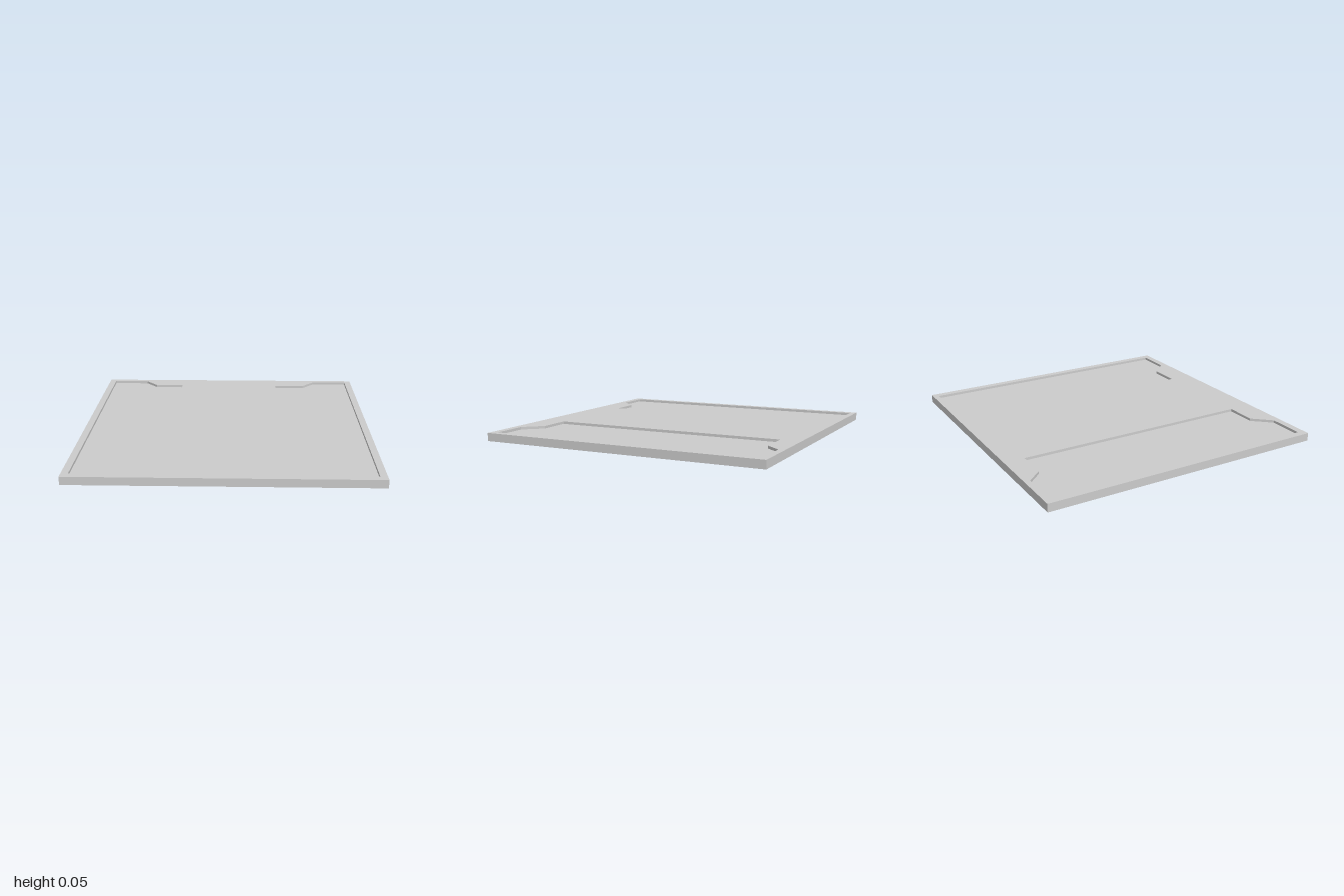
import * as THREE from 'three';

const W = 1, D = 0.983;                        // half width and half depth
const Y1 = 0.015, Y2 = 0.037, Y3 = 0.055;      // heights of the three layers

const points = (list) => list.map(([x, z]) => new THREE.Vector2(x, -z));

// Horizontal slab from y0 to y1, with outlines cut through it
function layer(name, y0, y1, holes, material) {
  const shape = new THREE.Shape(points([[-W, D], [W, D], [W, -D], [-W, -D]]));
  shape.holes = holes.map((h) => new THREE.Path(points(h)));
  const geometry = new THREE.ExtrudeGeometry(shape, { depth: y1 - y0, bevelEnabled: false });
  geometry.rotateX(-Math.PI / 2).translate(0, y0, 0);
  const mesh = new THREE.Mesh(geometry, material);
  mesh.name = name;
  return mesh;
}

// Side pocket outline: full length at the outside, shorter toward the middle
const pocket = (side, inner) => [
  [0.953, -0.943], [0.69, -0.943], [0.6, -0.843], [inner, -0.843],
  [inner, 0.813], [0.6, 0.813], [0.71, 0.935], [0.953, 0.935],
].map(([x, z]) => [side * x, z]);

export function createModel() {
  const group = new THREE.Group();
  group.name = 'panel';
  const material = new THREE.MeshStandardMaterial({ color: 0xcccccc, flatShading: true });

  // Shallow recess under the panel, framed by a narrow rim
  const recess = [[-0.953, -0.943], [0.953, -0.943], [0.953, 0.935], [-0.953, 0.935]];
  group.add(layer('bottomRim', 0, Y1, [recess], material));

  // Solid core that closes the pockets and the recess
  group.add(layer('corePlate', Y1, Y2, [], material));

  // Top with a pocket on each side of the middle
  group.add(layer('topCover', Y2, Y3, [pocket(1, 0.375), pocket(-1, 0.388)], material));
  return group;
}
